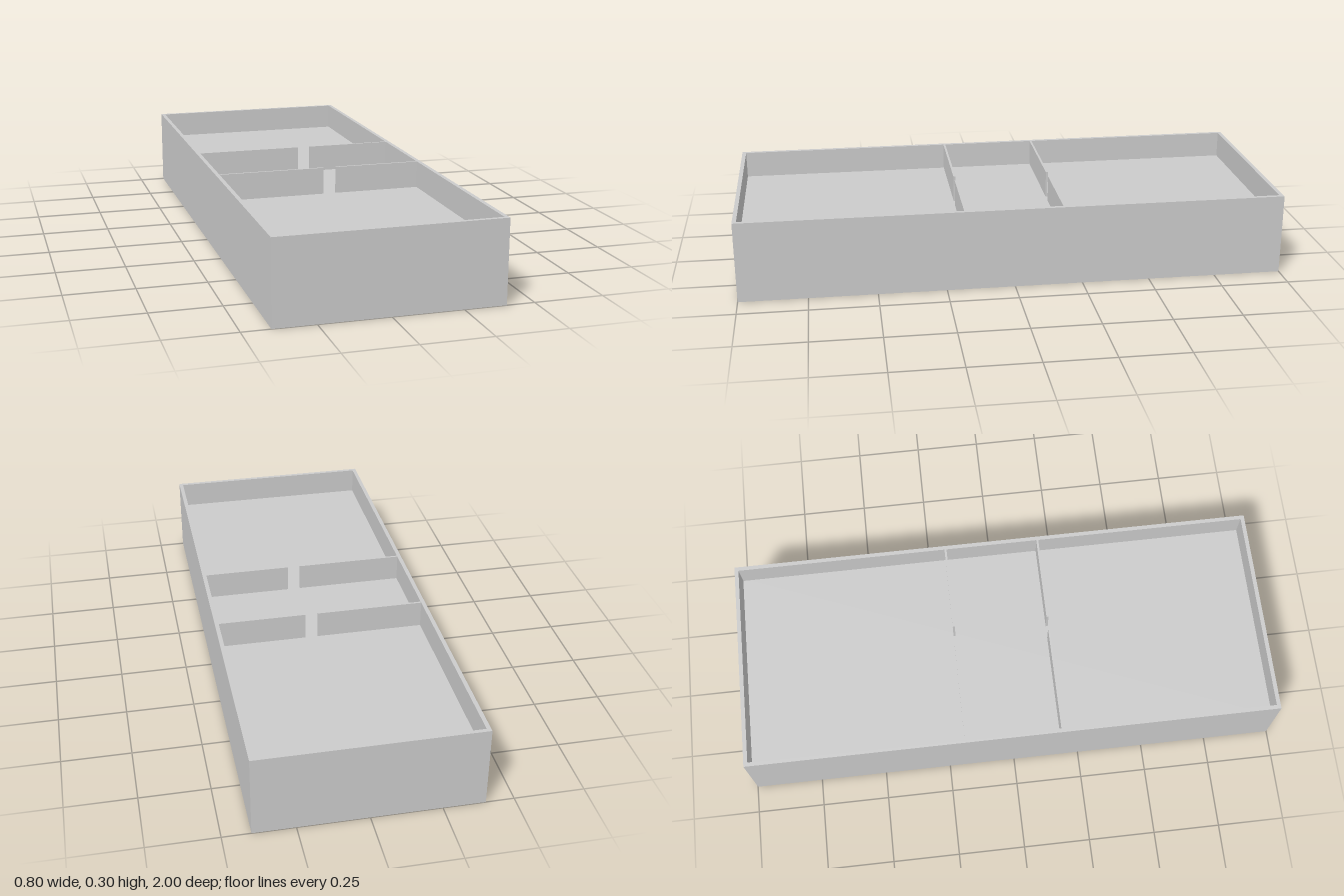
import * as THREE from 'three';

const W = 0.8, L = 2, H = 0.3;      // outer size
const WALL = 0.015, FLOOR = 0.2;    // rim thickness, height of the tray floor
const GAP = [0.013, 0.061];         // opening in each divider, along x

export function createModel() {
  const model = new THREE.Group();
  const material = new THREE.MeshStandardMaterial({ color: 0xcccccc, flatShading: true });

  const add = (name, geometry, x, y, z) => {
    const mesh = new THREE.Mesh(geometry, material);
    mesh.name = name;
    mesh.position.set(x, y, z);
    model.add(mesh);
    return mesh;
  };

  // Solid base whose top is the tray floor
  add('base', new THREE.BoxGeometry(W, FLOOR, L), 0, FLOOR / 2, 0);

  // Rim: one rectangular frame standing on the base
  const rect = (Path, w, l) => new Path([
    new THREE.Vector2(-w / 2, -l / 2), new THREE.Vector2(w / 2, -l / 2),
    new THREE.Vector2(w / 2, l / 2), new THREE.Vector2(-w / 2, l / 2),
  ]);
  const frame = rect(THREE.Shape, W, L);
  frame.holes.push(rect(THREE.Path, W - 2 * WALL, L - 2 * WALL));
  const rim = new THREE.ExtrudeGeometry(frame, { depth: H - FLOOR, bevelEnabled: false });
  rim.rotateX(-Math.PI / 2);
  add('rim', rim, 0, FLOOR, 0);

  // Two thin dividers, each split by a narrow opening
  const inner = W / 2 - WALL;
  for (const [row, z] of [['front', 0.18], ['back', -0.18]]) {
    for (const [side, x0, x1] of [['Right', -inner, GAP[0]], ['Left', GAP[1], inner]]) {
      add(`${row}Divider${side}`, new THREE.BoxGeometry(x1 - x0, H - FLOOR, 0.008),
        (x0 + x1) / 2, (H + FLOOR) / 2, z);
    }
  }
  return model;
}
